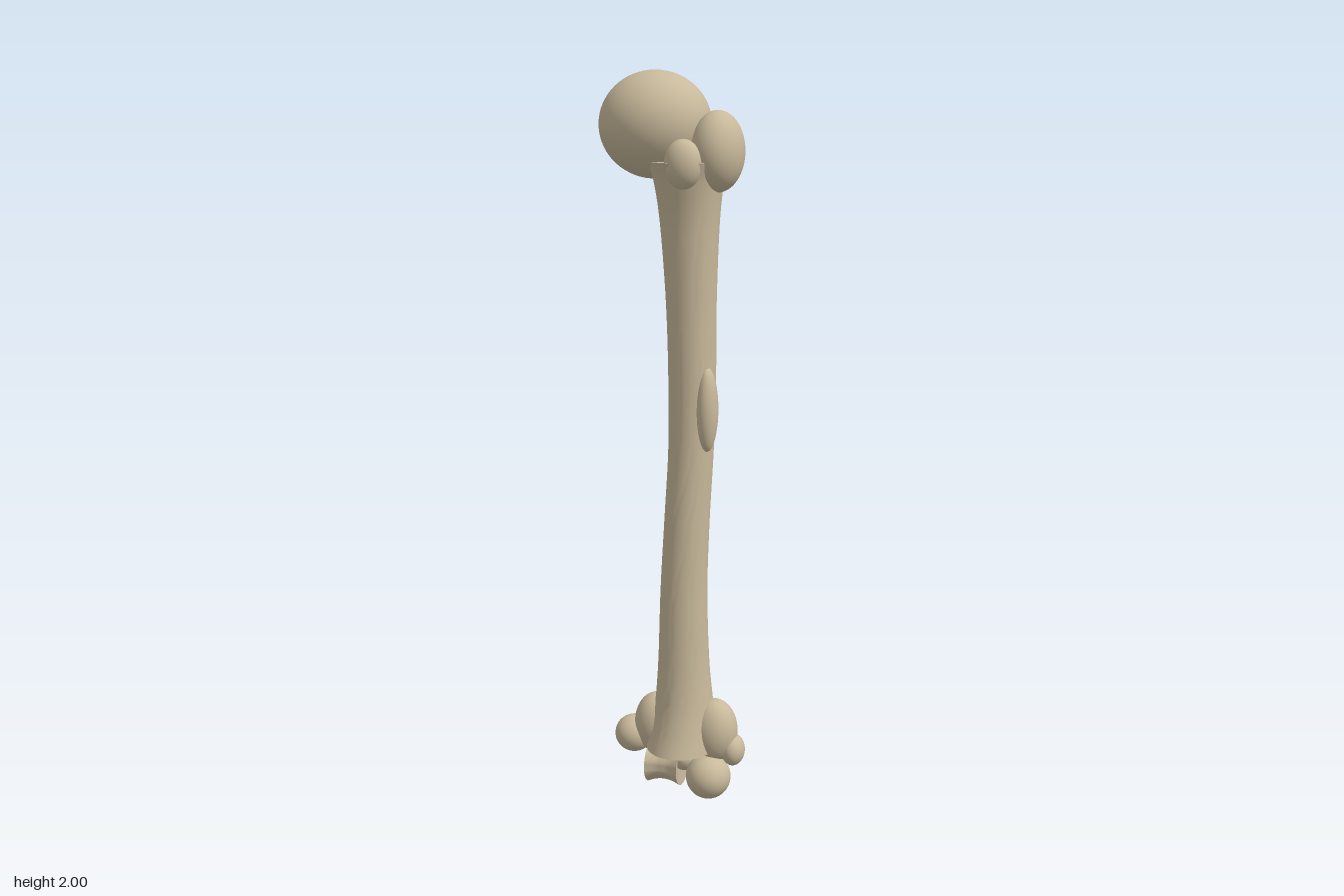
import * as THREE from 'three';
import { toCreasedNormals } from 'three/addons/utils/BufferGeometryUtils.js';

// Shaft cross-sections: y, x min, x max, z min, z max
const SECTIONS = [
  [0.135, -0.075, 0.125, -0.102, 0.138],
  [0.20, -0.06, 0.118, -0.08, 0.118],
  [0.28, -0.05, 0.11, -0.063, 0.102],
  [0.40, -0.042, 0.1, -0.05, 0.092],
  [0.60, -0.036, 0.094, -0.045, 0.085],
  [0.80, -0.026, 0.098, -0.05, 0.08],
  [1.00, -0.016, 0.107, -0.056, 0.076],
  [1.20, -0.016, 0.112, -0.058, 0.077],
  [1.40, -0.022, 0.113, -0.058, 0.08],
  [1.60, -0.036, 0.12, -0.066, 0.093],
  [1.71, -0.05, 0.13, -0.085, 0.115],
  [1.77, -0.066, 0.142, -0.104, 0.138],
];

function shaftGeometry() {
  const curve = (f) => new THREE.CatmullRomCurve3(SECTIONS.map(f), false, 'catmullrom', 0.5);
  const centre = curve(([y, x0, x1, z0, z1]) => new THREE.Vector3((x0 + x1) / 2, y, (z0 + z1) / 2));
  const radius = curve(([y, x0, x1, z0, z1]) => new THREE.Vector3((x1 - x0) / 2, y, (z1 - z0) / 2));
  const geometry = new THREE.CylinderGeometry(1, 1, 1, 48, 66);
  const p = geometry.attributes.position;
  for (let i = 0; i < p.count; i++) {
    const t = THREE.MathUtils.clamp(p.getY(i) + 0.5, 0, 1);
    const c = centre.getPoint(t), r = radius.getPoint(t);
    p.setXYZ(i, c.x + p.getX(i) * r.x, c.y, c.z + p.getZ(i) * r.z);
  }
  return toCreasedNormals(geometry, 0.7);
}

// Waisted spool with dished ends, axis along x
function spoolGeometry(length, endRadius, waistRadius) {
  const h = length / 2;
  const points = [new THREE.Vector2(0, -h * 0.7), new THREE.Vector2(endRadius * 0.8, -h)];
  for (let i = 0; i <= 12; i++) {
    const u = i / 6 - 1;
    points.push(new THREE.Vector2(waistRadius + (endRadius - waistRadius) * u * u, u * h));
  }
  points.push(new THREE.Vector2(endRadius * 0.8, h), new THREE.Vector2(0, h * 0.7));
  return toCreasedNormals(new THREE.LatheGeometry(points, 40).rotateZ(-Math.PI / 2), 0.7);
}

export function createModel() {
  const group = new THREE.Group();
  group.name = 'thighBone';
  const bone = new THREE.MeshStandardMaterial({ color: 0xc8b99b });
  bone.name = 'bone';

  const add = (name, geometry, position = [0, 0, 0]) => {
    const mesh = new THREE.Mesh(geometry, bone);
    mesh.name = name;
    mesh.position.set(...position);
    group.add(mesh);
    return mesh;
  };
  const blob = (name, position, radii) =>
    add(name, new THREE.SphereGeometry(1, 48, 32), position).scale.set(...radii);

  add('shaft', shaftGeometry());

  // Upper end
  blob('head', [-0.06, 1.86, -0.004], [0.15, 0.14, 0.14]);
  blob('greaterTrochanter', [0.12, 1.795, 0.021], [0.07, 0.105, 0.085]);
  blob('lesserTrochanter', [0.052, 1.765, 0.1], [0.05, 0.065, 0.042]);

  // Ridge on the outer side of the shaft
  blob('shaftRidge', [0.1, 1.115, 0.04], [0.03, 0.115, 0.036]);

  // Lower end
  blob('innerFlare', [-0.05, 0.19, 0.02], [0.065, 0.09, 0.06]);
  blob('outerFlare', [0.12, 0.19, 0.02], [0.066, 0.092, 0.06]);
  blob('innerEpicondyle', [-0.12, 0.148, 0.02], [0.055, 0.053, 0.055]);
  blob('outerEpicondyle', [0.175, 0.138, 0.02], [0.033, 0.045, 0.04]);
  blob('outerCondyle', [0.113, 0.063, 0.053], [0.063, 0.063, 0.063]);
  add('innerCondyle', spoolGeometry(0.096, 0.06, 0.048), [-0.023, 0.07, 0.018]);
  blob('condyleBridge', [0.035, 0.1, 0.02], [0.045, 0.042, 0.045]);

  return group;
}
